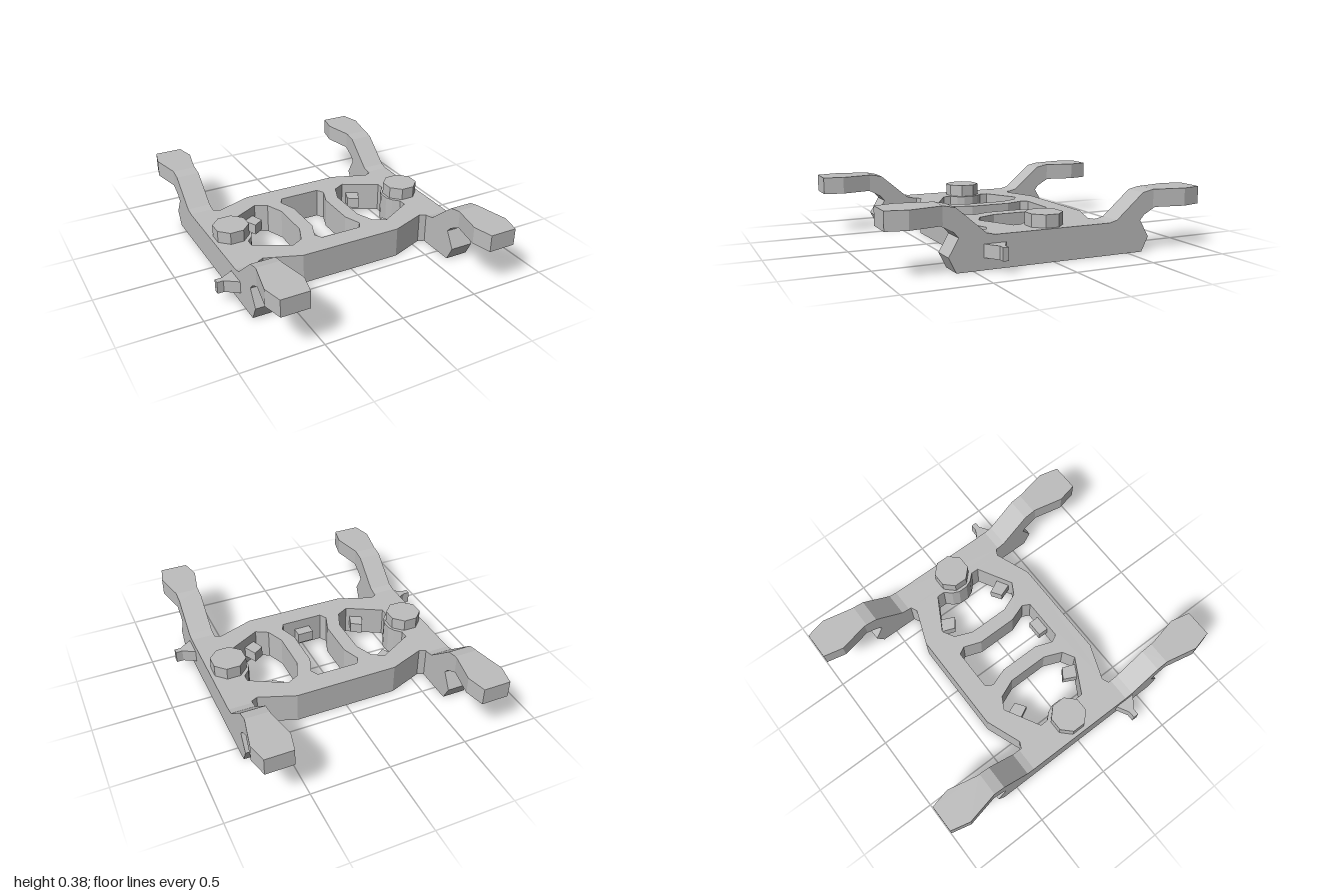
import * as THREE from 'three';

const grey = new THREE.MeshStandardMaterial({ color: 0xbebebe });
grey.name = 'plainGrey';

const toPath = (Type, pts) => new Type(pts.map(([x, z]) => new THREE.Vector2(x, -z)));

// Plan outline given as [x, z], extruded upwards from y0 to y1
function planGeometry(pts, y0, y1, holes = []) {
  const shape = toPath(THREE.Shape, pts);
  shape.holes = holes.map(h => toPath(THREE.Path, h));
  const geo = new THREE.ExtrudeGeometry(shape, { depth: y1 - y0, bevelEnabled: false });
  return geo.rotateX(-Math.PI / 2).translate(0, y0, 0);
}

const flip = (pts, sx, sz) => pts.map(([x, z]) => [x * sx, z * sz]);
// Completes a chain by its reflection, walked backwards
const mirrorX = pts => [...pts, ...flip(pts, -1, 1).reverse()];
const mirrorZ = pts => [...pts, ...flip(pts, 1, -1).reverse()];

export function createModel() {
  const group = new THREE.Group();
  const add = (name, geo) => {
    const mesh = new THREE.Mesh(geo, grey);
    mesh.name = name;
    group.add(mesh);
    return mesh;
  };

  // Middle plate with three openings; the side openings curve around the bosses
  const outline = mirrorX(mirrorZ([[0.33, 0.42], [0.555, 0.335], [0.597, 0.355]]));
  const centreHole = mirrorX(mirrorZ([[0.135, 0.287], [0.16, 0.24], [0.12, 0.13]]));
  const sideHole = mirrorZ([
    [0.21, 0.13], [0.257, 0.245], [0.333, 0.287], [0.553, 0.165],
    [0.553, 0.115], [0.515, 0.075], [0.495, 0.03],
  ]);
  add('middlePlate', planGeometry(outline, 0, 0.195, [centreHole, sideHole, flip(sideHole, -1, 1)]));

  // Rail profile as [z, y], symmetric front to back
  const railSide = mirrorX([
    [0.6, 0], [0.645, 0.09], [0.585, 0.193], [0.612, 0.225], [0.69, 0.267],
    [0.69, 0.375], [0.67, 0.375], [0.6, 0.36], [0.42, 0.207], [0.37, 0.195],
  ]);
  const railShape = new THREE.Shape(railSide.map(p => new THREE.Vector2(...p)));

  const hornPlan = [[0.597, 0.675], [0.555, 0.875], [0.583, 1], [0.757, 1], [0.787, 0.875], [0.745, 0.675]];
  const pinPlan = [[0.74, 0.3], [0.822, 0.345], [0.865, 0.345], [0.865, 0.38], [0.825, 0.38], [0.74, 0.44]];
  const tabPlan = [[0.432, 0.237], [0.39, 0.15], [0.325, 0.195], [0.357, 0.28]];

  for (const s of [1, -1]) {
    const side = s > 0 ? 'left' : 'right';

    const rail = new THREE.ExtrudeGeometry(railShape, { depth: 0.15, bevelEnabled: false });
    rail.rotateY(Math.PI / 2).translate(s * 0.67 - 0.075, 0, 0);
    add(side + 'Rail', rail);

    // Octagonal knob on the boss
    const knob = new THREE.CylinderGeometry(0.112, 0.112, 0.08, 8).toNonIndexed();
    knob.rotateY(Math.PI / 8).translate(s * 0.617, 0.232, 0);
    knob.computeVertexNormals();
    add(side + 'Knob', knob);

    add(side + 'Pin', planGeometry(flip(pinPlan, s, 1), 0.07, 0.147));

    // Flared horn ends and small tabs inside the side openings
    for (const e of [1, -1]) {
      const end = e > 0 ? 'Front' : 'Rear';
      add(side + end + 'Horn', planGeometry(flip(hornPlan, s, e), 0.267, 0.375));
      add(side + end + 'Tab', planGeometry(flip(tabPlan, s, e), 0.06, 0.13));
    }
  }

  // Tab at the front of the centre opening
  const centreTab = new THREE.BoxGeometry(0.105, 0.07, 0.08);
  centreTab.translate(0, 0.095, 0.26);
  add('centreTab', centreTab);

  return group;
}
